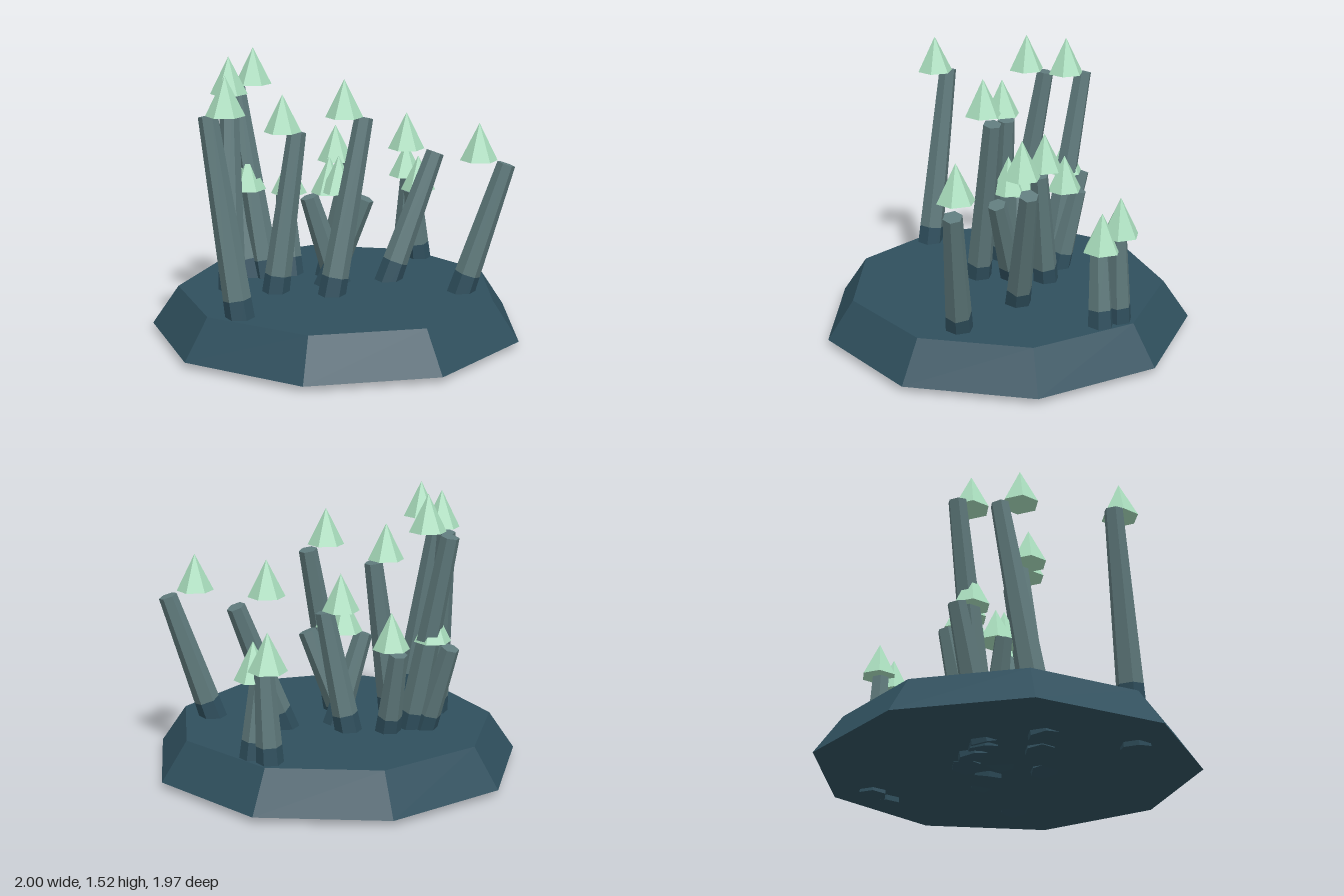
import * as THREE from 'three';

const R_BOTTOM = 0.08, R_TOP = 0.05, FOOT = 0.32, TIP = 0.2;

// x, z of the middle, height, and how far the top leans in x and z
const SPIRES = [
  [0.02, -0.76, 0.705, 0.02, 0],
  [0.12, -0.72, 0.64, -0.02, 0.03],
  [0.25, -0.30, 0.965, 0.11, -0.14],
  [0.70, -0.26, 0.95, 0.12, -0.09],
  [-0.11, -0.15, 0.89, 0.08, -0.03],
  [-0.37, -0.08, 0.69, -0.06, -0.05],
  [-0.52, 0.04, 1.31, -0.13, -0.02],
  [-0.50, 0.31, 1.29, -0.06, -0.09],
  [-0.55, 0.06, 0.72, -0.11, -0.03],
  [-0.21, 0.24, 1.10, 0.045, -0.07],
  [-0.07, -0.01, 0.74, -0.08, 0.08],
  [0.0, 0.01, 0.755, 0.14, -0.04],
  [0.09, 0.11, 1.185, 0.055, -0.115],
  [-0.22, 0.76, 1.26, -0.105, 0],
];

export function createModel() {
  const slate = new THREE.MeshStandardMaterial({ color: 0x2f4f5d, flatShading: true });
  slate.name = 'darkSlate';
  const stone = new THREE.MeshStandardMaterial({ color: 0x5f7a7c, flatShading: true });
  stone.name = 'greyStone';
  const mint = new THREE.MeshStandardMaterial({ color: 0xa8dcbc, flatShading: true });
  mint.name = 'paleMint';

  const model = new THREE.Group();
  model.name = 'spireGarden';

  const add = (parent, name, geometry, material, x, y, z) => {
    const mesh = new THREE.Mesh(geometry, material);
    mesh.name = name;
    mesh.position.set(x, y, z);
    parent.add(mesh);
    return mesh;
  };

  // Nine-sided bevelled slab with a corner at the back
  const base = add(model, 'base', new THREE.CylinderGeometry(0.87, 1.014, 0.21, 9), slate, 0, 0.127, 0.024);
  base.rotation.y = Math.PI;

  const up = new THREE.Vector3(0, 1, 0);
  const tipGeometry = new THREE.ConeGeometry(0.1, TIP, 6);

  for (const [x, z, h, dx, dz] of SPIRES) {
    // Tapered pillar turned about its middle, with a dark foot
    const pillar = new THREE.Group();
    pillar.name = 'pillar';
    pillar.position.set(x, h / 2, z);
    const rise = Math.sqrt(h * h / 4 - dx * dx - dz * dz);
    pillar.quaternion.setFromUnitVectors(up, new THREE.Vector3(dx, rise, dz).normalize());
    model.add(pillar);

    const rMid = R_BOTTOM + (R_TOP - R_BOTTOM) * FOOT / h;
    add(pillar, 'foot', new THREE.CylinderGeometry(rMid, R_BOTTOM, FOOT, 6), slate, 0, (FOOT - h) / 2, 0);
    add(pillar, 'shaft', new THREE.CylinderGeometry(R_TOP, rMid, h - FOOT, 6), stone, 0, FOOT / 2, 0);

    // Upright tip floating above the middle of the pillar
    add(model, 'tip', tipGeometry, mint, x, h + TIP / 2, z);
  }
  return model;
}
